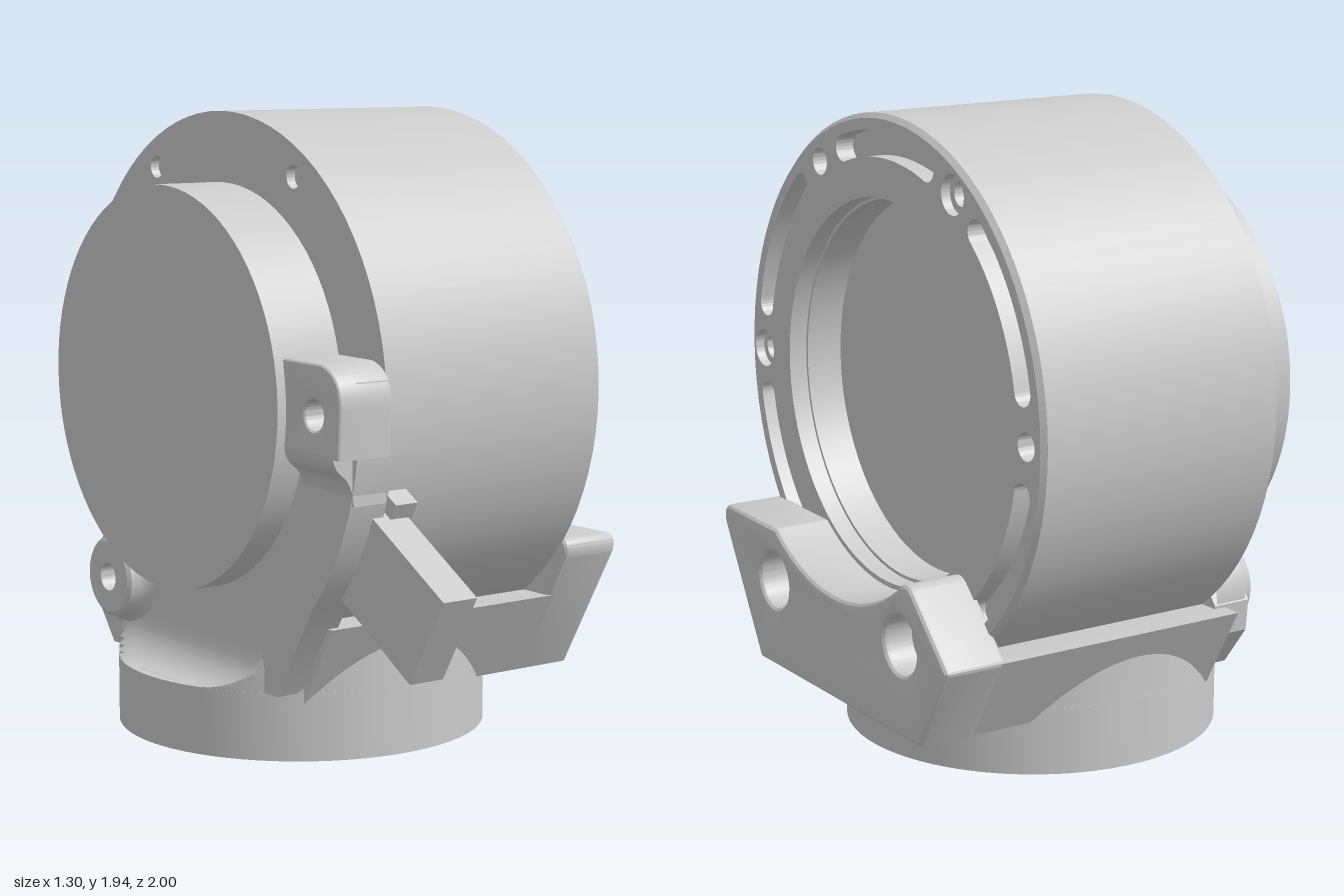
import * as THREE from 'three';
import { toCreasedNormals } from 'three/addons/utils/BufferGeometryUtils.js';

const material = new THREE.MeshStandardMaterial({ color: 0xcccccc, side: THREE.DoubleSide });
const rad = THREE.MathUtils.degToRad;
const CY = 1.1, CZ = -0.155; // axis of the drum, which runs along x
const BOLT_R = 0.755;

function add(parent, name, geometry) {
  const mesh = new THREE.Mesh(toCreasedNormals(geometry, 0.5), material);
  mesh.name = name;
  parent.add(mesh);
  return mesh;
}

// Outline in (-z, y) about the drum axis, extruded from x0 to x1
function extrudeX(shape, x0, x1, bevel = 0) {
  const geo = new THREE.ExtrudeGeometry(shape, {
    depth: x1 - x0 - 2 * bevel, curveSegments: 40, bevelEnabled: bevel > 0,
    bevelSize: bevel, bevelThickness: bevel, bevelOffset: -bevel, bevelSegments: 3,
  });
  return geo.rotateY(Math.PI / 2).translate(x0 + bevel, 0, 0);
}

// Profile of [radius, x] turned about the drum axis
function turnX(profile, segments = 80) {
  return new THREE.LatheGeometry(profile.map(p => new THREE.Vector2(...p)), segments).rotateZ(-Math.PI / 2);
}

function disc(r, cx = 0, cy = 0, Type = THREE.Shape) {
  return new Type().absarc(cx, cy, r, 0, Math.PI * 2, false);
}

function boltHole(deg, r) {
  return disc(r, BOLT_R * Math.cos(rad(deg)), BOLT_R * Math.sin(rad(deg)), THREE.Path);
}

function arcSlot(deg) {
  const r = 0.75, w = 0.04, a = rad(deg - 18.5), b = rad(deg + 18.5);
  const path = new THREE.Path();
  path.absarc(0, 0, r + w, a, b, false);
  path.absarc(r * Math.cos(b), r * Math.sin(b), w, b, b + Math.PI, false);
  path.absarc(0, 0, r - w, b, a, true);
  path.absarc(r * Math.cos(a), r * Math.sin(a), w, a + Math.PI, a + 2 * Math.PI, false);
  return path;
}

// Stacked circles [y, radius, xCut], each trimmed flat at x = xCut
function trimmedStack(rings, cx, cz, n = 96) {
  const pos = [], index = [];
  rings.forEach(([y, r, cut], i) => {
    for (let j = 0; j <= n; j++) {
      const t = (j / n) * Math.PI * 2;
      pos.push(Math.max(cx + r * Math.cos(t), cut), y, cz - r * Math.sin(t));
      if (i < rings.length - 1 && j < n) {
        const a = i * (n + 1) + j, c = a + n + 1;
        index.push(a, a + 1, c + 1, a, c + 1, c);
      }
    }
  });
  const geo = new THREE.BufferGeometry();
  geo.setAttribute('position', new THREE.Float32BufferAttribute(pos, 3));
  geo.setIndex(index);
  return geo;
}

export function createModel() {
  const model = new THREE.Group();
  const axis = new THREE.Group();
  axis.name = 'drumAndBracket';
  axis.position.set(0, CY, CZ);
  model.add(axis);

  // Drum with a round recess in its +x end
  add(axis, 'drum', turnX([[0, -0.33], [0.82, -0.33], [0.82, -0.36], [0.84, -0.36], [0.84, 0.445],
    [0.825, 0.46], [0.82, 0.46], [0.82, 0.4], [0.58, 0.4], [0.58, 0.28], [0, 0.28]]));
  const face = disc(0.82);
  face.holes.push(disc(0.59, 0, 0, THREE.Path));
  for (const a of [30, 90, 150, 210, 330]) face.holes.push(arcSlot(a));
  for (let a = 0; a < 360; a += 60) face.holes.push(boltHole(a, a === 180 || a === 60 ? 0.06 : 0.042));
  add(axis, 'slottedFace', extrudeX(face, 0.4, 0.46));
  const back = disc(0.82);
  for (const a of [0, 60, 120]) back.holes.push(boltHole(a, 0.035));
  add(axis, 'drumBack', extrudeX(back, -0.36, -0.33));
  add(axis, 'rearHousing', turnX([[0, -0.59], [0.622, -0.59], [0.622, -0.34], [0, -0.34]]));

  // Screw sleeves in the two wider bolt holes
  for (const a of [60, 180]) {
    const sleeve = disc(0.06, BOLT_R * Math.cos(rad(a)), BOLT_R * Math.sin(rad(a)));
    sleeve.holes.push(boltHole(a, 0.037));
    add(axis, 'boltSeat', extrudeX(sleeve, 0.4, 0.43));
  }

  // Front plate of the bracket, with two counterbored holes
  const plate = new THREE.Shape();
  plate.moveTo(-0.475, -0.935);
  plate.lineTo(0.485, -0.935);
  plate.lineTo(0.63, -0.68);
  plate.quadraticCurveTo(0.637, -0.668, 0.627, -0.66);
  plate.lineTo(0.45, -0.48);
  plate.quadraticCurveTo(0.42, -0.45, 0.385, -0.467);
  plate.absarc(0, 0, 0.605, rad(-50.5), rad(-127), true);
  plate.lineTo(-0.68, -0.48);
  plate.quadraticCurveTo(-0.715, -0.49, -0.7, -0.54);
  plate.closePath();
  for (const a of [-120, -60]) plate.holes.push(boltHole(a, 0.088));
  add(axis, 'frontPlate', extrudeX(plate, 0.44, 0.65, 0.02));
  for (const a of [-120, -60]) {
    const seat = disc(0.092, BOLT_R * Math.cos(rad(a)), BOLT_R * Math.sin(rad(a)));
    seat.holes.push(boltHole(a, 0.052));
    add(axis, 'counterboreSeat', extrudeX(seat, 0.455, 0.55));
  }

  // Cradle under the drum
  const cradle = new THREE.Shape();
  cradle.moveTo(-0.475, -0.935);
  cradle.lineTo(0.485, -0.935);
  cradle.lineTo(0.635, -0.67);
  cradle.lineTo(0.5, -0.67);
  cradle.absarc(0, 0, 0.835, rad(-53.4), rad(-126.6), true);
  cradle.lineTo(-0.628, -0.67);
  cradle.closePath();
  add(axis, 'cradle', extrudeX(cradle, -0.4, 0.46));

  // Rear plate curving up to the side ear
  const rear = new THREE.Shape();
  rear.moveTo(-0.47, -0.89);
  rear.lineTo(0.46, -0.89);
  rear.lineTo(0.56, -0.76);
  rear.lineTo(0.57, -0.66);
  rear.lineTo(0.45, -0.53);
  rear.absarc(0, 0, 0.6, rad(-50), rad(-180), true);
  rear.lineTo(-0.6, 0.1);
  rear.lineTo(-0.87, 0.1);
  rear.absarc(0, 0, 0.88, rad(180), rad(222), false);
  rear.closePath();
  add(axis, 'rearPlate', extrudeX(rear, -0.49, -0.362));

  // Side ear with its hole and the curved step below it
  const ear = new THREE.Shape();
  ear.moveTo(-0.6, -0.12);
  ear.lineTo(-0.6, 0.15);
  ear.lineTo(-0.79, 0.15);
  ear.quadraticCurveTo(-0.885, 0.13, -0.885, 0.03);
  ear.lineTo(-0.875, -0.12);
  ear.closePath();
  ear.holes.push(boltHole(180, 0.045));
  add(axis, 'sideEar', extrudeX(ear, -0.56, -0.37, 0.012));
  const step = new THREE.Shape();
  step.moveTo(-0.37, -0.1);
  step.lineTo(-0.56, -0.1);
  step.quadraticCurveTo(-0.56, -0.14, -0.53, -0.165);
  step.quadraticCurveTo(-0.49, -0.19, -0.485, -0.26);
  step.lineTo(-0.37, -0.26);
  step.closePath();
  add(axis, 'sideEarStep', new THREE.ExtrudeGeometry(step, { depth: 0.24, bevelEnabled: false })
    .translate(0, 0, 0.61));

  // Lower ear, flared into the rear plate
  add(axis, 'lowerEar', turnX([[0, -0.4], [0.045, -0.4], [0.045, -0.56], [0.115, -0.56], [0.128, -0.55],
    [0.135, -0.52], [0.155, -0.495], [0.19, -0.48], [0.19, -0.37]], 40))
    .position.set(0, BOLT_R * Math.sin(rad(-60)), -BOLT_R * Math.cos(rad(-60)));

  // Slanted tab and the pad it leaves the drum from
  const tab = add(model, 'tab', new THREE.BoxGeometry(0.12, 0.305, 0.5));
  tab.position.set(-0.34, 0.597, 0.708);
  const pad = add(model, 'tabPad', new THREE.BoxGeometry(0.08, 0.4, 0.1));
  pad.position.set(-0.305, 0.685, 0.565);
  tab.rotation.x = pad.rotation.x = rad(30);

  // Round foot with three screw holes
  const foot = disc(0.585);
  for (const a of [0, 120, 240]) {
    foot.holes.push(disc(0.045, 0.42 * Math.cos(rad(a)), 0.42 * Math.sin(rad(a)), THREE.Path));
  }
  add(model, 'foot', new THREE.ExtrudeGeometry(foot, { depth: 0.21, bevelEnabled: false, curveSegments: 48 })
    .rotateX(-Math.PI / 2).translate(-0.068, 0, CZ));

  // Neck rising into the cradle, with a concave fillet on its -x side
  const rings = [[0.12, 0, -1], [0.12, 0.584, -1], [0.2, 0.584, -1]];
  for (let i = 0; i <= 8; i++) {
    const t = (i / 8) * Math.PI / 2;
    rings.push([0.35 - 0.14 * Math.cos(t), 0.584, -0.63 + 0.14 * Math.sin(t)]);
  }
  rings.push([0.4, 0.584, -0.49], [0.4, 0, -0.49]);
  add(model, 'neck', trimmedStack(rings, -0.068, CZ));

  return model;
}
